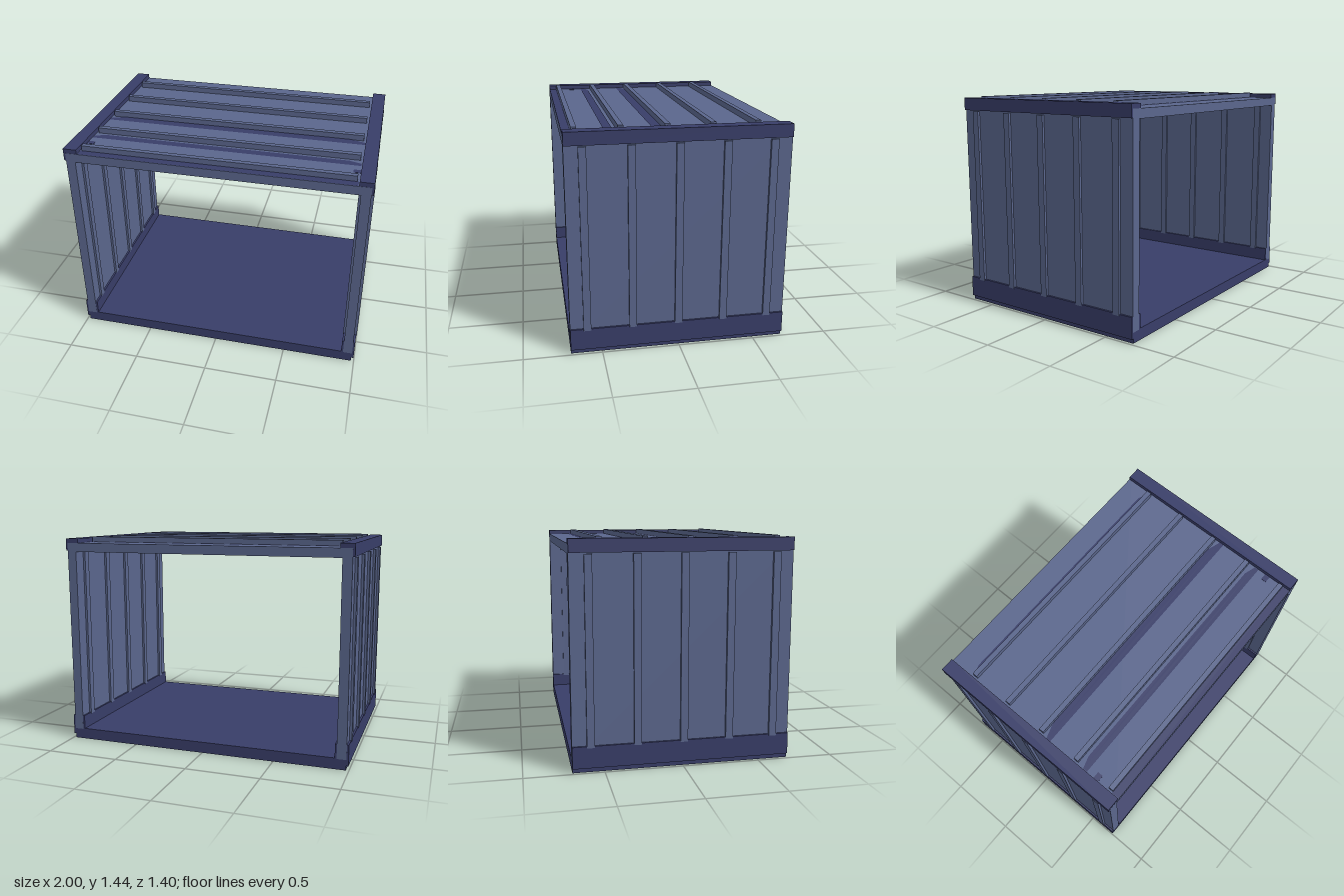
import * as THREE from 'three';

const steel = new THREE.MeshStandardMaterial({ color: 0x5a668c });
steel.name = 'steel blue';
const navy = new THREE.MeshStandardMaterial({ color: 0x383d68 });
navy.name = 'dark navy';

// Box given by its minimum and maximum on each axis
function box(parent, name, material, [x0, x1], [y0, y1], [z0, z1]) {
  const mesh = new THREE.Mesh(new THREE.BoxGeometry(x1 - x0, y1 - y0, z1 - z0), material);
  mesh.position.set((x0 + x1) / 2, (y0 + y1) / 2, (z0 + z1) / 2);
  mesh.name = name;
  parent.add(mesh);
}

// The same box on both sides of x = 0
function pair(parent, name, material, [x0, x1], y, z) {
  box(parent, name + 'Left', material, [x0, x1], y, z);
  box(parent, name + 'Right', material, [-x1, -x0], y, z);
}

// Thin painted strip on the roof with tapered ends
function strip(parent, zBack, zFront, halfBack, halfFront) {
  const shape = new THREE.Shape([
    new THREE.Vector2(-halfFront, -zFront), new THREE.Vector2(halfFront, -zFront),
    new THREE.Vector2(halfBack, -zBack), new THREE.Vector2(-halfBack, -zBack),
  ]);
  const mesh = new THREE.Mesh(new THREE.ShapeGeometry(shape), navy);
  mesh.rotation.x = -Math.PI / 2;
  mesh.position.y = 1.407;
  mesh.name = 'roofStrip';
  parent.add(mesh);
}

export function createModel() {
  const model = new THREE.Group();
  model.name = 'openContainer';
  const length = [-0.7, 0.7];

  // Floor
  box(model, 'floor', navy, [-0.98, 0.98], [0, 0.075], length);

  // Side walls, with skirts and top rails wrapped round their edges
  const walls = new THREE.Group();
  walls.name = 'sideWalls';
  model.add(walls);
  pair(walls, 'wall', steel, [0.92, 0.983], [0.07, 1.405], [-0.701, 0.701]);
  pair(walls, 'skirt', navy, [0.907, 0.996], [0.03, 0.17], length);
  pair(walls, 'topRail', navy, [0.905, 0.996], [1.352, 1.435], length);

  // Upright ribs showing on both faces of each wall
  for (const z of [-0.585, -0.29, 0.005, 0.3, 0.592]) {
    pair(walls, 'wallRib', steel, [0.905, 1], [0.16, 1.345], [z - 0.024, z + 0.024]);
  }

  // Roof panel and its cross ribs
  const roof = new THREE.Group();
  roof.name = 'roof';
  model.add(roof);
  box(roof, 'roofPanel', steel, [-0.93, 0.93], [1.345, 1.405], [-0.701, 0.701]);
  for (const z of [-0.508, -0.222, 0.064, 0.35, 0.63]) {
    box(roof, 'roofRib', steel, [-0.89, 0.89], [1.4, 1.443], [z - 0.017, z + 0.017]);
  }

  // Dark strips beside the roof ribs
  strip(roof, -0.55, -0.525, 0.82, 0.89);
  strip(roof, -0.25, -0.238, 0.84, 0.84);
  strip(roof, 0.08, 0.115, 0.8, 0.905);
  strip(roof, 0.115, 0.145, 0.905, 0.905);
  strip(roof, 0.39, 0.415, 0.82, 0.9);
  strip(roof, 0.415, 0.445, 0.9, 0.9);
  strip(roof, 0.647, 0.7, 0.9, 0.9);
  pair(roof, 'roofMark', navy, [0.857, 0.905], [1.402, 1.407], [0.5, 0.537]);

  return model;
}
